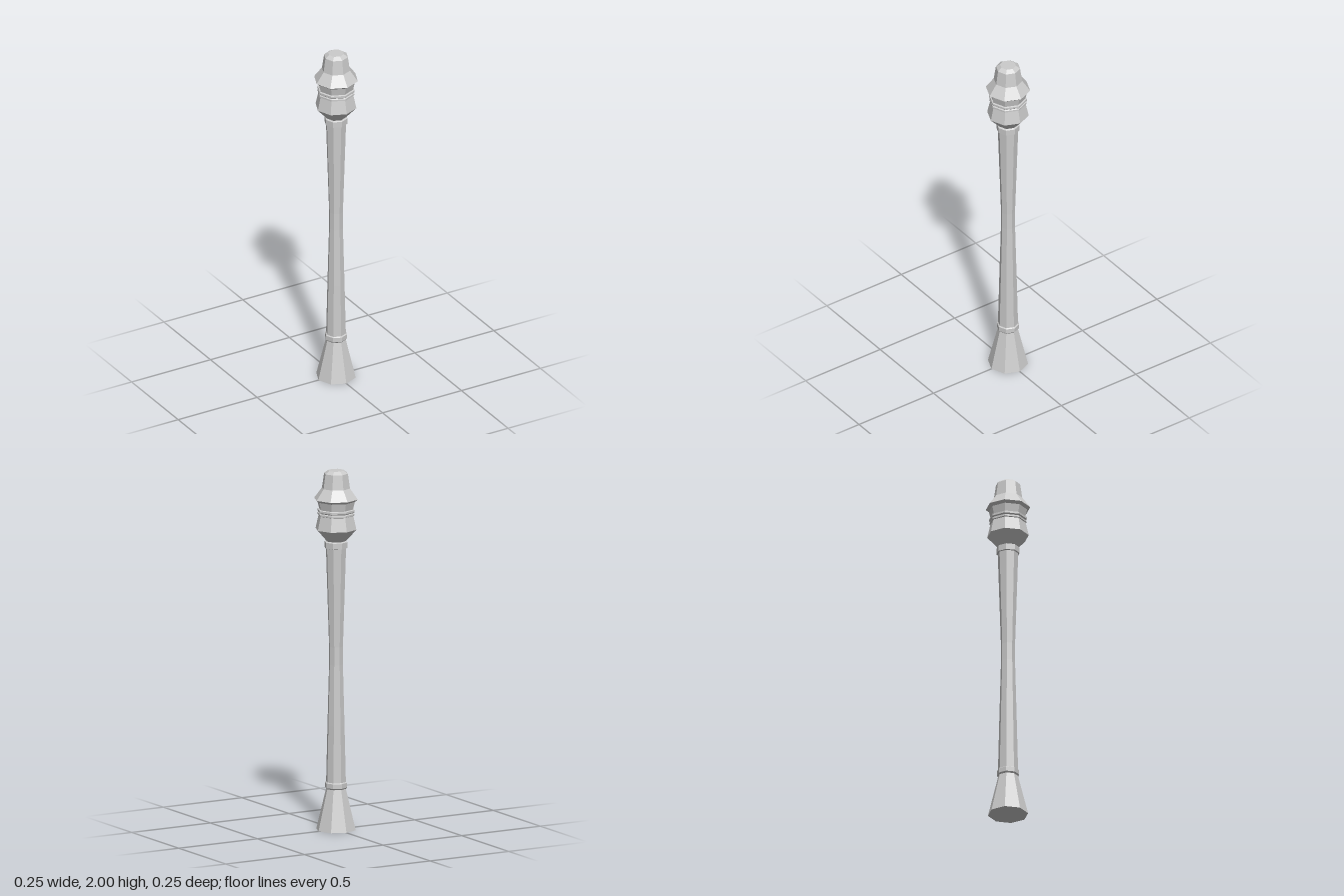
import * as THREE from 'three';

const SIDES = 8;
const material = new THREE.MeshStandardMaterial({ color: 0xcccccc, flatShading: true });

// Octagonal turned part from [radius, height] pairs, bottom to top, closed at both ends
function turned(name, profile) {
  const points = profile.map(([r, y]) => new THREE.Vector2(r, y));
  points.unshift(new THREE.Vector2(0, points[0].y));
  points.push(new THREE.Vector2(0, points[points.length - 1].y));
  const mesh = new THREE.Mesh(new THREE.LatheGeometry(points, SIDES), material);
  mesh.name = name;
  return mesh;
}

export function createModel() {
  const model = new THREE.Group();
  model.name = 'post';
  model.add(
    // flared foot
    turned('foot', [[0.111, 0], [0.055, 0.23]]),
    turned('lowerRing', [[0.055, 0.228], [0.062, 0.236], [0.062, 0.262], [0.055, 0.267]]),
    // slender shaft, narrowest at mid height
    turned('shaft', [[0.056, 0.25], [0.048, 0.58], [0.039, 0.92], [0.039, 1.02], [0.048, 1.3], [0.057, 1.58]]),
    turned('upperCollar', [[0.057, 1.568], [0.064, 1.57], [0.064, 1.603], [0.052, 1.61]]),
    // bulb below the bands
    turned('bulb', [[0.05, 1.603], [0.115, 1.674], [0.098, 1.75]]),
    turned('lowerBand', [[0.096, 1.75], [0.103, 1.753], [0.103, 1.762], [0.097, 1.766]]),
    turned('upperBand', [[0.097, 1.766], [0.104, 1.772], [0.104, 1.783], [0.096, 1.786]]),
    // waist, wide brim and capped top
    turned('cap', [
      [0.095, 1.784], [0.106, 1.829], [0.123, 1.842], [0.079, 1.902],
      [0.067, 1.984], [0.044, 2]
    ])
  );
  return model;
}
